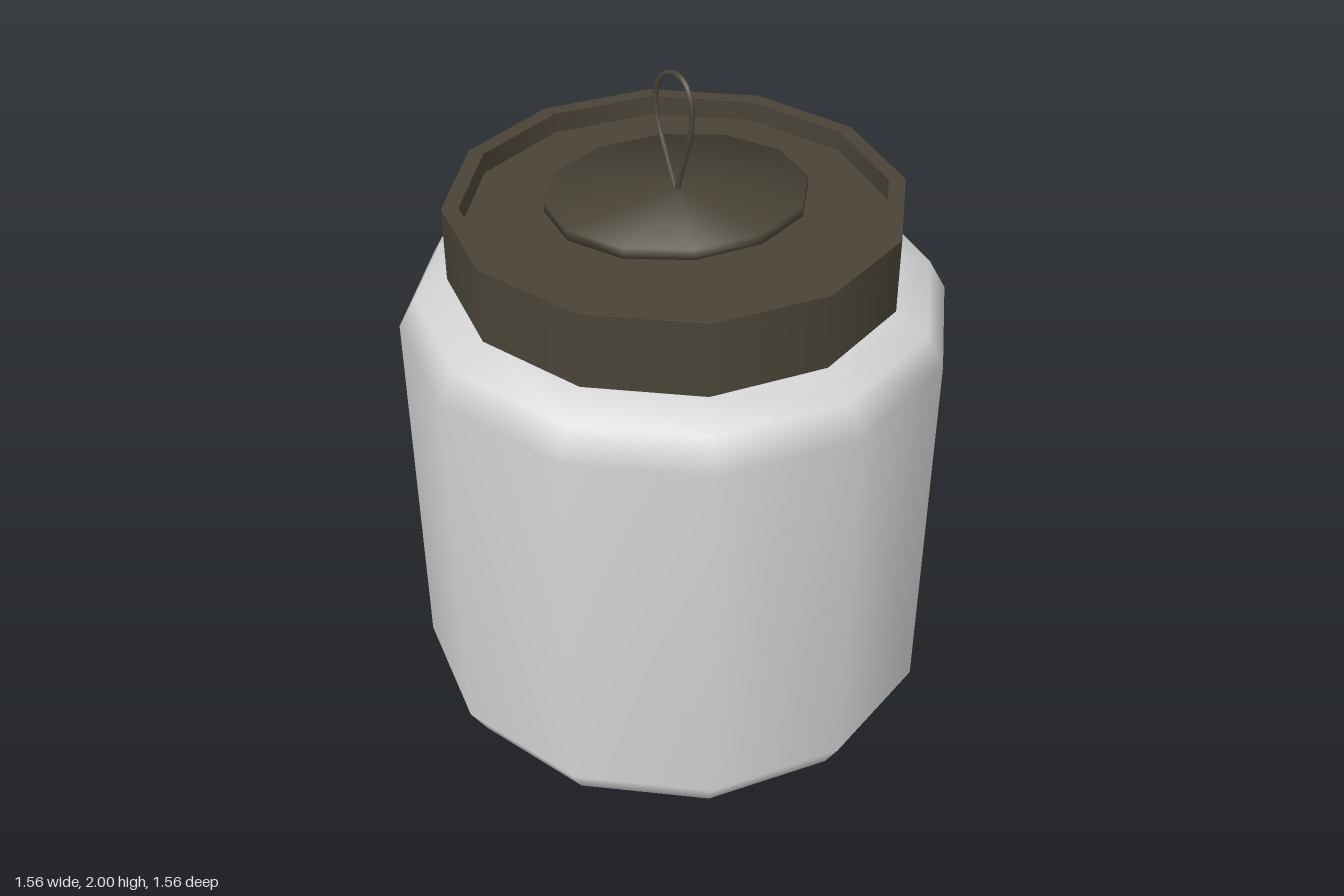
import * as THREE from 'three';

const SIDES = 12;

// Twelve-sided turned part from [radius, height] pairs; a repeated pair makes a sharp edge.
function turned(name, profile, material) {
  const points = profile.map(([r, y]) => new THREE.Vector2(r, y));
  const mesh = new THREE.Mesh(new THREE.LatheGeometry(points, SIDES), material);
  mesh.name = name;
  return mesh;
}

// Repeats the inner points so every edge of the profile is sharp.
const sharp = (profile) =>
  profile.flatMap((p, i) => (i === 0 || i === profile.length - 1 ? [p] : [p, p]));

export function createModel() {
  const model = new THREE.Group();
  model.name = 'lidded jar';

  const ceramic = new THREE.MeshStandardMaterial({ color: 0xd3d3d3 });
  ceramic.name = 'pale grey ceramic';
  const bronze = new THREE.MeshStandardMaterial({ color: 0x4a4437 });
  bronze.name = 'dark bronze';

  // Jar body with bevelled foot and shoulder, and a short neck under the lid
  model.add(turned('jarBody', [
    [0, 0], [0.61, 0], [0.61, 0], [0.73, 0.04], [0.78, 0.13],
    [0.78, 1.285], [0.73, 1.375], [0.61, 1.41], [0.61, 1.41], [0.61, 1.46],
  ], ceramic));

  // Lid with a raised rim around a recessed floor
  model.add(turned('lid', sharp([
    [0, 1.43], [0.637, 1.43], [0.637, 1.65], [0.59, 1.65], [0.59, 1.59], [0, 1.59],
  ]), bronze));

  // Tilted knob: a thin plate and a wire loop
  const knob = new THREE.Group();
  knob.name = 'knob';
  knob.position.y = 1.668;
  knob.rotation.z = 0.08;

  const plate = turned('knobPlate', [
    [0, -0.045], [0.28, -0.045], [0.362, -0.03], [0.362, 0], [0, 0.002],
  ], bronze);
  // Soft normals that lean outwards towards the rim
  const pos = plate.geometry.attributes.position;
  const n = new THREE.Vector3();
  for (let i = 0; i < pos.count; i++) {
    n.set(pos.getX(i) * 2.4, pos.getY(i) > -0.02 ? 1 : -1, pos.getZ(i) * 2.4).normalize();
    plate.geometry.attributes.normal.setXYZ(i, n.x, n.y, n.z);
  }
  knob.add(plate);

  // Teardrop wire loop
  const path = new THREE.CatmullRomCurve3([
    [0, -0.01, 0], [0.035, 0.09, -0.004], [0.068, 0.19, -0.008], [0.07, 0.26, -0.012],
    [0.045, 0.31, -0.014], [0, 0.327, -0.015], [-0.05, 0.31, -0.014],
    [-0.084, 0.26, -0.012], [-0.084, 0.19, -0.008], [-0.045, 0.09, -0.004], [-0.002, -0.01, 0],
  ].map((p) => new THREE.Vector3(...p)));
  const loop = new THREE.Mesh(new THREE.TubeGeometry(path, 48, 0.008, 6), bronze);
  loop.name = 'wireLoop';
  knob.add(loop);

  model.add(knob);
  return model;
}
